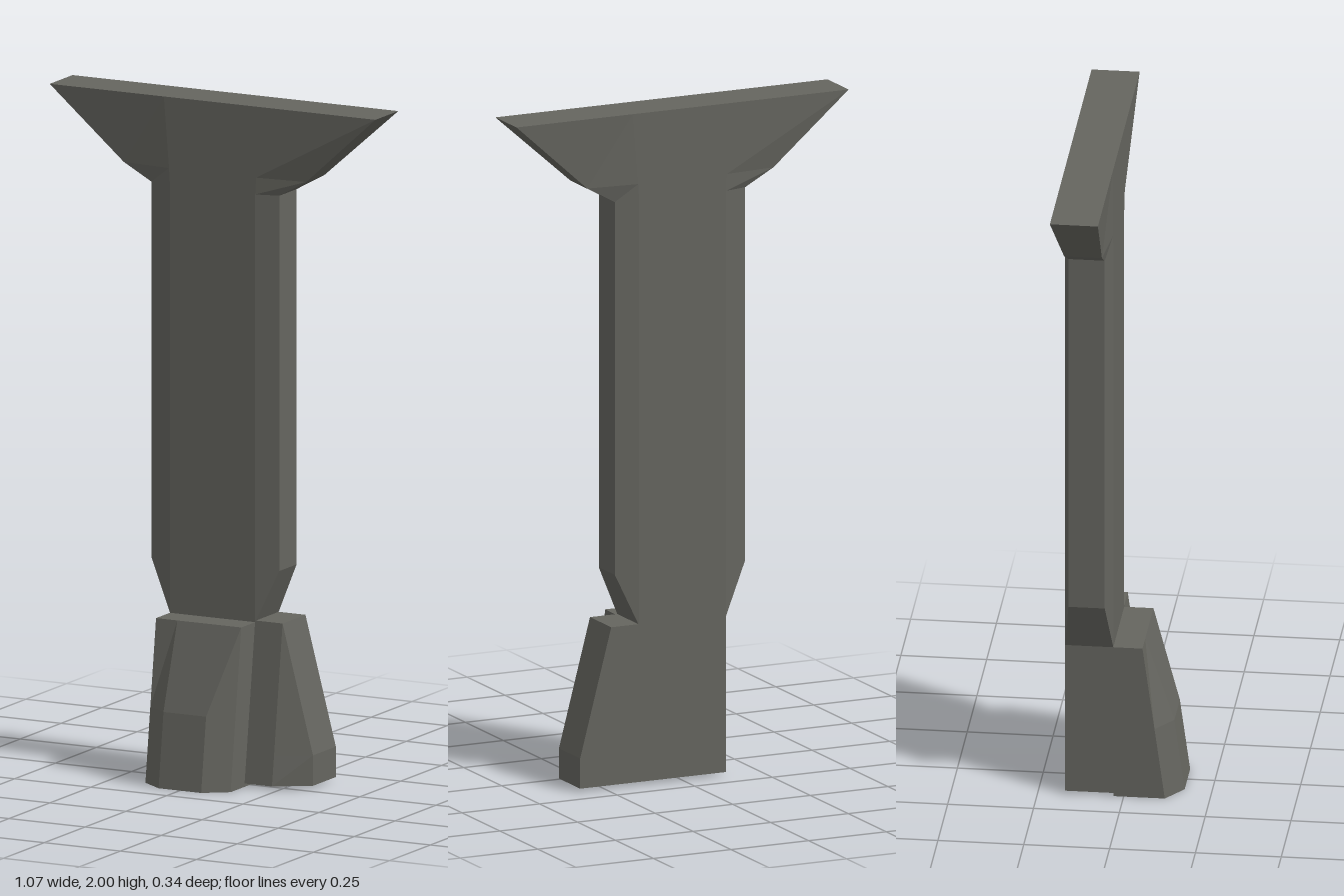
import * as THREE from 'three';

// Flat-faced loft through convex sections [y, [[x, z], ...]], listed bottom to top.
// Corners run front-right, back-right, back-left, front-left seen from above.
function loft(sections) {
  const rings = sections.map(([y, pts]) => pts.map(([x, z]) => new THREE.Vector3(x, y, z)));
  const out = [];
  const tri = (a, b, c) => {
    const area = b.clone().sub(a).cross(c.clone().sub(a)).length();
    if (area > 1e-7) for (const p of [a, b, c]) out.push(p.x, p.y, p.z);
  };
  const n = rings[0].length;
  for (let s = 0; s < rings.length - 1; s++) {
    const a = rings[s], b = rings[s + 1];
    for (let i = 0; i < n; i++) {
      const j = (i + 1) % n;
      tri(a[i], a[j], b[j]);
      tri(a[i], b[j], b[i]);
    }
  }
  const bottom = rings[0], top = rings[rings.length - 1];
  for (let i = 1; i < n - 1; i++) {
    tri(bottom[0], bottom[i + 1], bottom[i]);
    tri(top[0], top[i], top[i + 1]);
  }
  const g = new THREE.BufferGeometry();
  g.setAttribute('position', new THREE.Float32BufferAttribute(out, 3));
  g.computeVertexNormals();
  return g;
}

const BACK = -0.17, FRONT = -0.03;

// Octagonal section: flat face half width, outer half width, bevel depth at the sides
function slab(y, face, outer, bevel) {
  const f = FRONT - bevel, b = BACK + bevel;
  return [y, [
    [face, FRONT], [outer, f], [outer, b], [face, BACK],
    [-face, BACK], [-outer, b], [-outer, f], [-face, FRONT],
  ]];
}

// Front toe section: side corners at sideZ, nose corners at noseZ
function nose(y, sideZ, noseZ) {
  return [y, [
    [0.07, noseZ], [0.14, sideZ], [0.14, FRONT],
    [-0.14, FRONT], [-0.14, sideZ], [-0.07, noseZ],
  ]];
}

// Side toe section: front corner depth and outer reach
function side(y, frontZ, outerX) {
  return [y, [[0.14, frontZ], [0.23, frontZ], [outerX, FRONT], [outerX, BACK], [0.14, BACK]]];
}

export function createModel() {
  const group = new THREE.Group();
  const stone = new THREE.MeshStandardMaterial({ color: 0x65655f });
  stone.name = 'dark grey stone';

  const add = (name, geometry) => {
    const mesh = new THREE.Mesh(geometry, stone);
    mesh.name = name;
    group.add(mesh);
  };

  // Bevelled shaft, tapered at the ankle
  add('shaft', loft([
    slab(0.475, 0.14, 0.14, 0),
    slab(0.63, 0.14, 0.21, 0.017),
    slab(1.74, 0.14, 0.21, 0.017),
  ]));

  // Flared head spreading to a full-depth flat top
  add('flaredHead', loft([
    slab(1.74, 0.14, 0.21, 0.017),
    slab(1.79, 0.143, 0.3, 0.015),
    slab(2, 0.16, 0.535, 0),
  ]));

  // Foot: heel block, forward toe and the toe on the left
  add('heel', loft([
    slab(0.01, 0.14, 0.14, 0),
    slab(0.475, 0.14, 0.14, 0),
  ]));
  add('frontToe', loft([
    nose(0, 0.12, 0.17),
    nose(0.22, 0.09, 0.14),
    nose(0.475, 0.055, 0.055),
  ]));
  add('sideToe', loft([
    side(0.01, 0.035, 0.33),
    side(0.1, 0.022, 0.33),
    side(0.48, FRONT, 0.23),
  ]));

  return group;
}
